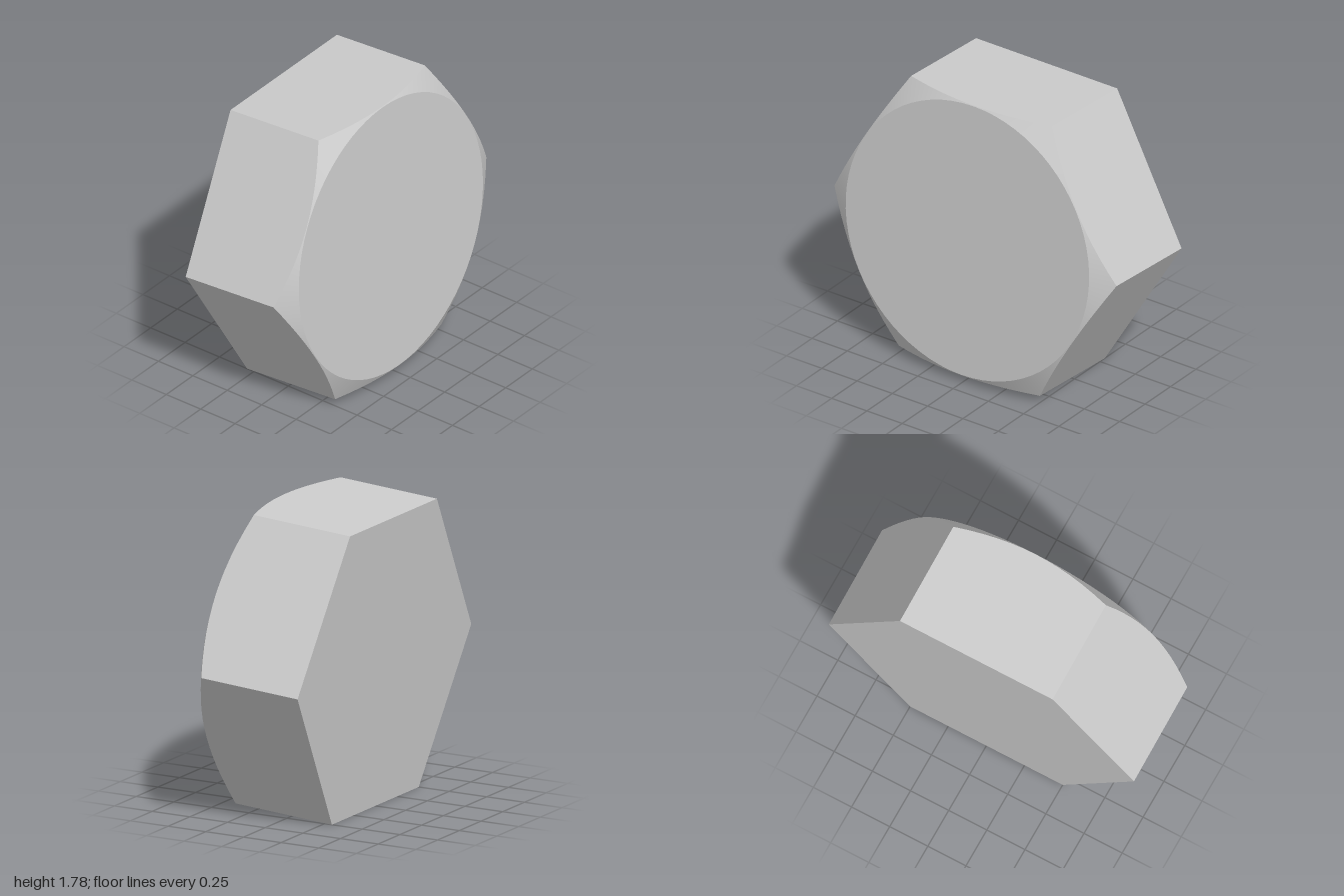
import * as THREE from 'three';
import { toCreasedNormals } from 'three/addons/utils/BufferGeometryUtils.js';

const APOTHEM = Math.sqrt(3) / 2; // hexagon with corner radius 1
const HALF = 0.36;                // half the thickness
const FACE_RADIUS = 0.862;        // round flat on the front
const CHAMFER = Math.tan(Math.PI / 6);
const TILT = THREE.MathUtils.degToRad(4);
const SEGMENTS = 72;              // multiple of 6, so corners are sampled

// Distance from the axis to the hexagon's outline; corners lie on +x and -x
function hexRadius(angle) {
  const sector = Math.PI / 3;
  return APOTHEM / Math.cos((angle % sector) - sector / 2);
}

// Cross-sections from back to front: [radius, z] at an angle
const sections = [
  () => [0, -HALF],                                    // back centre
  (a) => [hexRadius(a), -HALF],                        // back outline
  (a) => [hexRadius(a), HALF - (hexRadius(a) - FACE_RADIUS) * CHAMFER], // scalloped edge
  () => [FACE_RADIUS, HALF],                           // front circle
  () => [0, HALF],                                     // front centre
];

function headGeometry() {
  const positions = [];
  const point = (section, i) => {
    const a = ((i % SEGMENTS) / SEGMENTS) * Math.PI * 2;
    const [r, z] = sections[section](a);
    return [r * Math.cos(a), r * Math.sin(a), z];
  };
  for (let s = 0; s < sections.length - 1; s++) {
    for (let i = 0; i < SEGMENTS; i++) {
      const a = point(s, i), b = point(s, i + 1);
      const c = point(s + 1, i + 1), d = point(s + 1, i);
      if (s > 0) positions.push(...a, ...b, ...c);
      if (s === 0) positions.push(...a, ...c, ...d);
      else if (s < sections.length - 2) positions.push(...a, ...c, ...d);
    }
  }
  const geometry = new THREE.BufferGeometry();
  geometry.setAttribute('position', new THREE.Float32BufferAttribute(positions, 3));
  return toCreasedNormals(geometry, THREE.MathUtils.degToRad(15));
}

export function createModel() {
  const group = new THREE.Group();
  group.name = 'hexBoltHead';

  // Chamfered hexagonal head, leaning slightly back and resting on its lower back edge
  const head = new THREE.Mesh(headGeometry(), new THREE.MeshStandardMaterial({ color: 0xcccccc }));
  head.name = 'chamferedHexHead';
  head.rotation.x = -TILT;
  head.position.y = APOTHEM * Math.cos(TILT) + HALF * Math.sin(TILT);
  group.add(head);

  return group;
}
